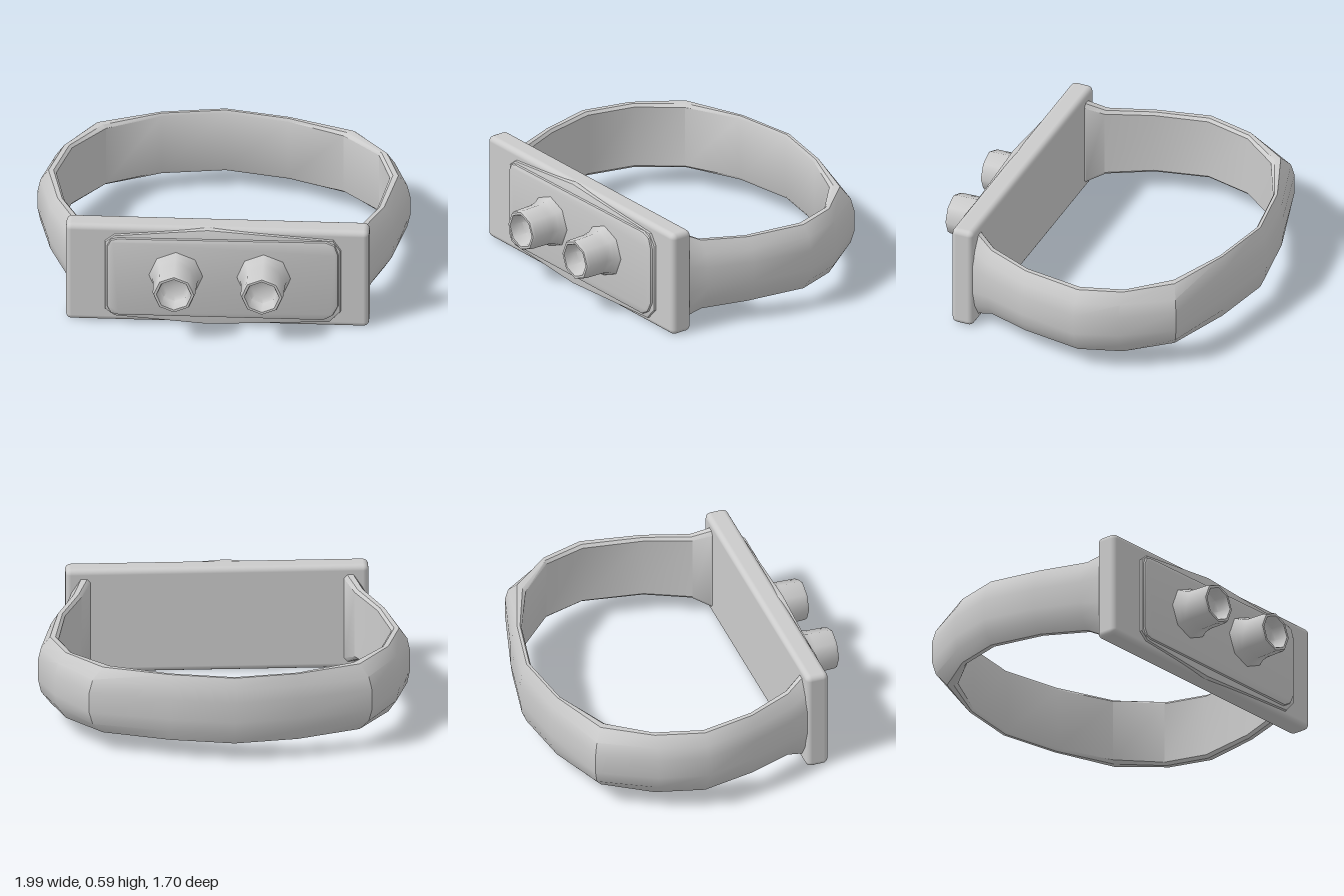
import * as THREE from 'three';
import { toCreasedNormals } from 'three/addons/utils/BufferGeometryUtils.js';
import { RoundedBoxGeometry } from 'three/addons/geometries/RoundedBoxGeometry.js';

const material = new THREE.MeshStandardMaterial({ color: 0xcccccc });
const MID_Y = 0.29;

function part(name, geometry, x = 0, y = 0, z = 0) {
  const mesh = new THREE.Mesh(geometry, material);
  mesh.name = name;
  mesh.position.set(x, y, z);
  return mesh;
}

// Strap: a bulged cross-section carried around stations of
// [outer x, outer z, inner x, inner z, half height]
function strapGeometry() {
  const stations = [
    [-0.79, 0.54, -0.66, 0.54, 0.28],
    [-0.80, 0.49, -0.68, 0.49, 0.245],
    [-0.835, 0.40, -0.73, 0.40, 0.2],
    [-0.93, 0.16, -0.84, 0.16, 0.188],
    [-1.0, -0.13, -0.90, -0.13, 0.187],
    [-0.93, -0.39, -0.83, -0.39, 0.187],
    [-0.77, -0.69, -0.66, -0.60, 0.187],
    [-0.37, -0.80, -0.37, -0.74, 0.187],
    [-0.03, -0.85, -0.03, -0.79, 0.187],
    [0.32, -0.78, 0.31, -0.72, 0.187],
    [0.74, -0.66, 0.61, -0.59, 0.187],
    [0.91, -0.40, 0.81, -0.40, 0.187],
    [0.99, -0.17, 0.88, -0.17, 0.187],
    [0.92, 0.16, 0.83, 0.16, 0.188],
    [0.83, 0.40, 0.73, 0.40, 0.2],
    [0.80, 0.49, 0.68, 0.49, 0.245],
    [0.79, 0.54, 0.66, 0.54, 0.28],
  ];
  // [depth from inner to outer face, fraction of half height]
  const profile = [
    [0, -0.92], [0.15, -1], [0.42, -1], [0.85, -0.68], [1, -0.3],
    [1, 0.3], [0.85, 0.68], [0.42, 1], [0.15, 1], [0, 0.92],
  ];
  const n = profile.length;
  const positions = [], index = [];
  stations.forEach(([ox, oz, ix, iz, h], i) => {
    profile.forEach(([t, v], j) => {
      positions.push(ix + (ox - ix) * t, MID_Y + v * h, iz + (oz - iz) * t);
      if (i === stations.length - 1) return;
      const a = i * n + j, b = i * n + (j + 1) % n;
      index.push(a, b, a + n, b, b + n, a + n);
    });
  });
  const geometry = new THREE.BufferGeometry();
  geometry.setAttribute('position', new THREE.Float32BufferAttribute(positions, 3));
  geometry.setIndex(index);
  return toCreasedNormals(geometry, 0.65);
}

// Flat plate with a softly bevelled rim, front face at depth + bevel
function slab(points, depth, bevel) {
  const shape = new THREE.Shape(points.map(([x, y]) => new THREE.Vector2(x, y)));
  const geometry = new THREE.ExtrudeGeometry(shape, {
    depth, bevelEnabled: true, bevelThickness: bevel, bevelSize: bevel,
    bevelOffset: -bevel, bevelSegments: 2,
  });
  return toCreasedNormals(geometry, 0.6);
}

// Eight-sided knob with a flared foot and a hollow end, facing +z
function knobGeometry() {
  const outline = [
    [0.15, 0], [0.14, 0.025], [0.125, 0.05], [0.117, 0.09], [0.114, 0.2],
    [0.108, 0.215], [0.094, 0.215], [0.088, 0.2], [0.083, 0.14], [0.06, 0.125], [0, 0.12],
  ].map(([r, h]) => new THREE.Vector2(r, h));
  const geometry = new THREE.LatheGeometry(outline, 8);
  geometry.rotateX(Math.PI / 2);
  return toCreasedNormals(geometry, 0.9);
}

export function createModel() {
  const model = new THREE.Group();
  model.name = 'strapWithControlPlate';

  model.add(part('strap', strapGeometry()));

  // Main plate
  model.add(part('plate', new RoundedBoxGeometry(1.62, 0.59, 0.125, 3, 0.03), 0, 0.295, 0.5575));

  // Low base that swells to the plate's edges at mid width
  const base = [
    [-0.6, 0.08], [-0.55, 0.04], [-0.05, 0.002], [0.6, 0.035], [0.66, 0.1],
    [0.66, 0.48], [0.62, 0.54], [-0.05, 0.588], [-0.55, 0.54], [-0.6, 0.5],
  ];
  model.add(part('panelBase', slab(base, 0.02, 0.01), 0, 0, 0.605));

  // Raised front panel with cut corners
  const panel = [
    [-0.59, 0.1], [-0.57, 0.06], [-0.53, 0.05], [0.57, 0.05], [0.62, 0.08],
    [0.65, 0.14], [0.65, 0.46], [0.63, 0.52], [0.58, 0.54], [-0.53, 0.53], [-0.57, 0.52], [-0.59, 0.48],
  ];
  model.add(part('frontPanel', slab(panel, 0.025, 0.02), 0, 0, 0.605));

  // Two knobs
  const knob = knobGeometry();
  model.add(part('rightKnob', knob, -0.22, 0.31, 0.635));
  model.add(part('leftKnob', knob, 0.25, 0.31, 0.635));

  return model;
}
